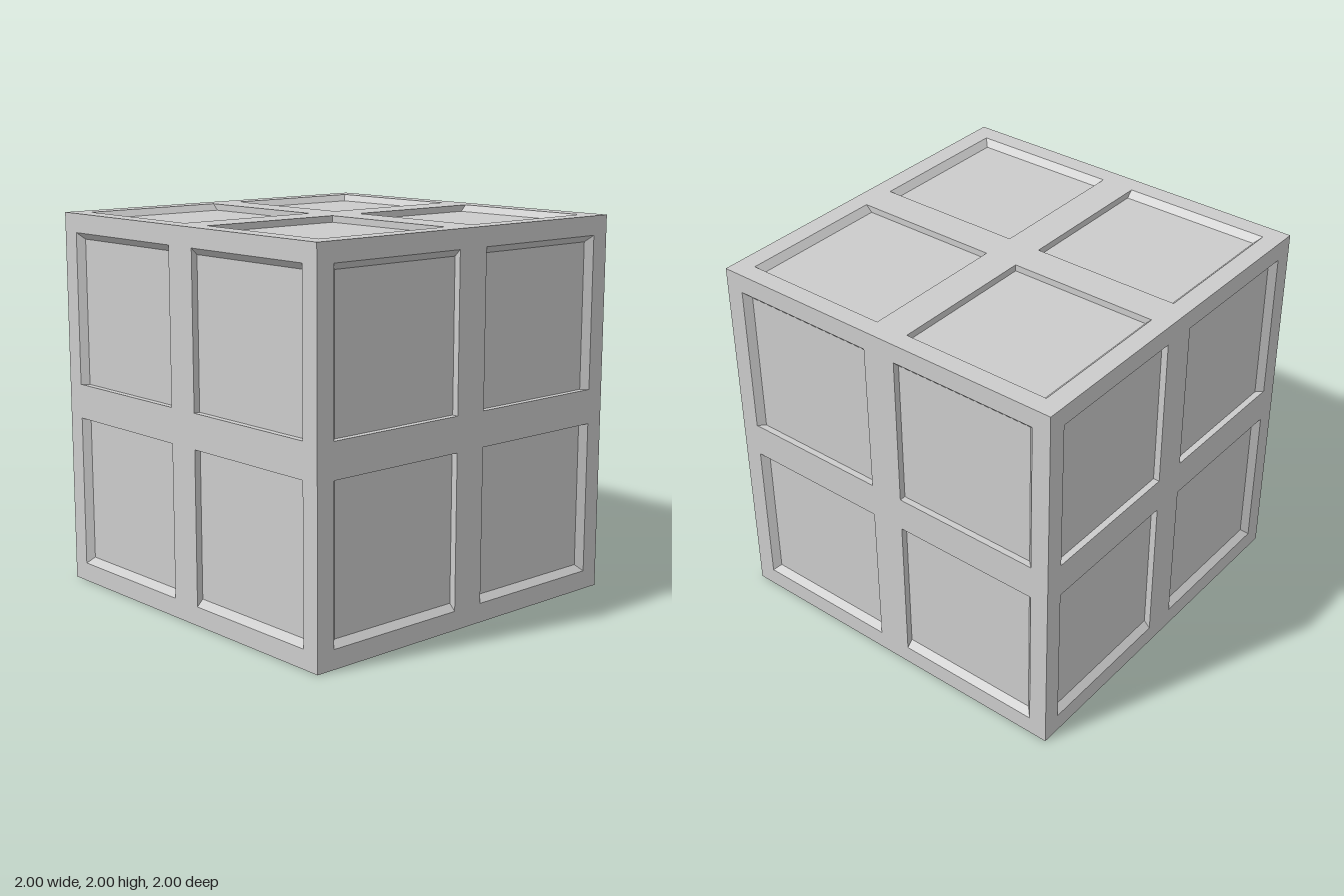
import * as THREE from 'three';

const INNER = 0.092; // inner edges of the recesses
const RIM = 0.9; // outer edges at the surface
const FLOOR = 0.866; // outer edges at the recess floor
const DEPTH = 0.034;

// Counter-clockwise corners of one quadrant's square, from INNER to outer
function square(sx, sy, outer, z) {
  const [x0, x1] = sx > 0 ? [INNER, outer] : [-outer, -INNER];
  const [y0, y1] = sy > 0 ? [INNER, outer] : [-outer, -INNER];
  return [[x0, y0], [x1, y0], [x1, y1], [x0, y1]].map(([x, y]) => new THREE.Vector3(x, y, z));
}

// Recess: flat floor, bevelled outer walls, upright inner walls
function recessGeometry(sx, sy) {
  const rim = square(sx, sy, RIM, 1);
  const floor = square(sx, sy, FLOOR, 1 - DEPTH);
  const points = [];
  const quad = (a, b, c, d) => points.push(a, b, c, a, c, d);
  quad(...floor);
  for (let i = 0; i < 4; i++) {
    const j = (i + 1) % 4;
    quad(rim[i], rim[j], floor[j], floor[i]);
  }
  const geometry = new THREE.BufferGeometry().setFromPoints(points);
  geometry.computeVertexNormals();
  return geometry;
}

// Flat face frame with four square openings
function frameGeometry(quadrants) {
  const shape = new THREE.Shape([[-1, -1], [1, -1], [1, 1], [-1, 1]].map(([x, y]) => new THREE.Vector2(x, y)));
  for (const [sx, sy] of quadrants) {
    const corners = square(sx, sy, RIM, 0).map((p) => new THREE.Vector2(p.x, p.y));
    shape.holes.push(new THREE.Path(corners.reverse()));
  }
  return new THREE.ShapeGeometry(shape).translate(0, 0, 1);
}

export function createModel() {
  const model = new THREE.Group();
  model.name = 'panelledCube';
  const material = new THREE.MeshStandardMaterial({ color: 0xcccccc, flatShading: true });
  const quadrants = [[-1, -1], [1, -1], [1, 1], [-1, 1]];
  const frame = frameGeometry(quadrants);
  const recesses = quadrants.map(([sx, sy]) => recessGeometry(sx, sy));

  // The same face turned to all six sides
  const sides = {
    front: [0, 0], right: [0, -Math.PI / 2], back: [0, Math.PI], left: [0, Math.PI / 2],
    top: [-Math.PI / 2, 0], bottom: [Math.PI / 2, 0],
  };
  for (const [name, [rx, ry]] of Object.entries(sides)) {
    const side = new THREE.Group();
    side.name = `${name}Side`;
    const frameMesh = new THREE.Mesh(frame, material);
    frameMesh.name = `${name}Frame`;
    side.add(frameMesh);
    recesses.forEach((geometry, i) => {
      const panel = new THREE.Mesh(geometry, material);
      panel.name = `${name}Panel${i + 1}`;
      side.add(panel);
    });
    side.rotation.set(rx, ry, 0);
    side.position.y = 1;
    model.add(side);
  }
  return model;
}
